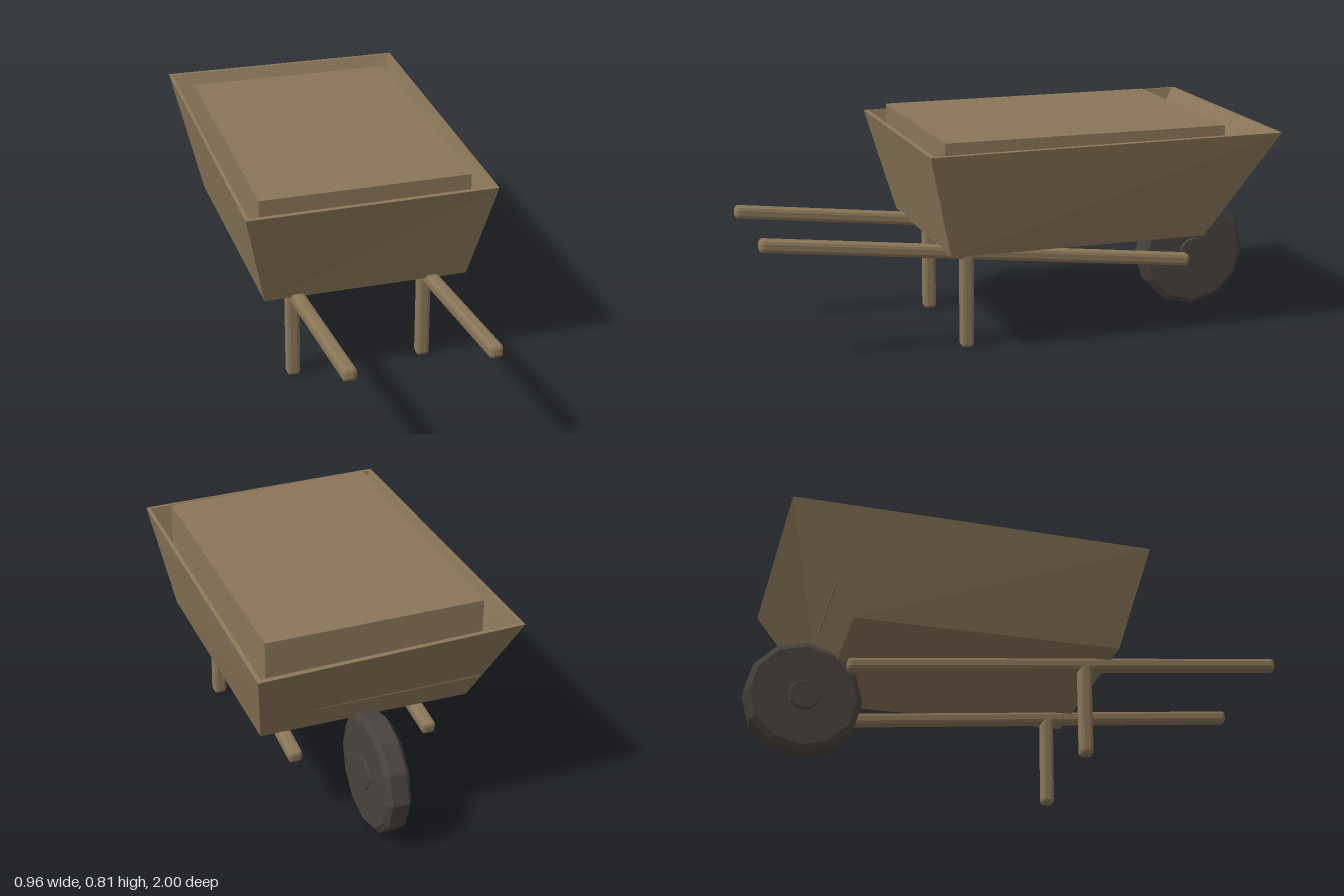
import * as THREE from 'three';
import { RoundedBoxGeometry } from 'three/addons/geometries/RoundedBoxGeometry.js';

const wood = new THREE.MeshStandardMaterial({ color: 0x8b7759 });
wood.name = 'wood';
const rubber = new THREE.MeshStandardMaterial({ color: 0x48423e });
rubber.name = 'dark wheel';

// Gives every face its own flat normal
function faceted(geometry) {
  const flat = geometry.index ? geometry.toNonIndexed() : geometry;
  flat.computeVertexNormals();
  return flat;
}

function part(name, geometry, material) {
  const mesh = new THREE.Mesh(faceted(geometry), material);
  mesh.name = name;
  return mesh;
}

// Skins four-cornered rings (front left, front right, back right, back left
// as seen on the page) and closes the first and last ring
function skinRings(rings) {
  const positions = [];
  const quad = (a, b, c, d) => positions.push(...a, ...b, ...c, ...a, ...c, ...d);
  const first = rings[0];
  const last = rings[rings.length - 1];
  quad(first[0], first[3], first[2], first[1]);
  for (let r = 0; r < rings.length - 1; r++) {
    for (let i = 0; i < 4; i++) {
      const j = (i + 1) % 4;
      quad(rings[r][i], rings[r][j], rings[r + 1][j], rings[r + 1][i]);
    }
  }
  quad(...last);
  const geometry = new THREE.BufferGeometry();
  geometry.setAttribute('position', new THREE.Float32BufferAttribute(positions, 3));
  return geometry;
}

// Chamfered wooden bar
const bar = (w, h, d) => new RoundedBoxGeometry(w, h, d, 1, 0.014);

export function createModel() {
  const model = new THREE.Group();
  model.name = 'wheelbarrow';

  // Slightly crooked tray: outside, rim, sloping inside, floor
  model.add(part('tray', skinRings([
    [[-0.39, 0.388, 0.33], [0.385, 0.387, 0.33], [0.385, 0.387, -0.66], [-0.4, 0.383, -0.66]],
    [[-0.475, 0.777, 0.435], [0.465, 0.773, 0.425], [0.48, 0.782, -0.92], [-0.48, 0.797, -0.91]],
    [[-0.462, 0.779, 0.42], [0.453, 0.775, 0.41], [0.465, 0.784, -0.902], [-0.467, 0.797, -0.894]],
    [[-0.41, 0.55, 0.36], [0.385, 0.55, 0.35], [0.39, 0.52, -0.73], [-0.41, 0.52, -0.735]],
  ]), wood));

  // Block filling the tray and standing just above the rim
  const loadRing = (left, right) => [
    [-0.41, left, 0.36], [0.385, right, 0.35], [0.39, right, -0.73], [-0.41, left, -0.735],
  ];
  model.add(part('load', skinRings([loadRing(0.5, 0.5), loadRing(0.81, 0.804)]), wood));

  // Handles and legs on both sides
  for (const [side, x] of [['right', -0.264], ['left', 0.251]]) {
    const handle = part(side + 'Handle', bar(0.052, 0.048, 1.665), wood);
    handle.position.set(x, 0.357, 0.17);
    handle.rotation.x = -0.118;
    model.add(handle);

    const leg = part(side + 'Leg', bar(0.052, 0.385, 0.05), wood);
    leg.position.set(x, 0.1935, 0.233);
    model.add(leg);
  }

  // Twelve-sided wheel with chamfered edges and a low hub on each face
  const profile = [
    [0, -0.054], [0.055, -0.054], [0.06, -0.047], [0.198, -0.047], [0.22, -0.03],
    [0.22, 0.03], [0.198, 0.047], [0.06, 0.047], [0.055, 0.054], [0, 0.054],
  ].map(([r, y]) => new THREE.Vector2(r, y));
  const wheel = part('wheel', new THREE.LatheGeometry(profile, 12), rubber);
  wheel.rotation.z = Math.PI / 2;
  wheel.position.set(-0.004, 0.223, -0.778);
  model.add(wheel);

  return model;
}
